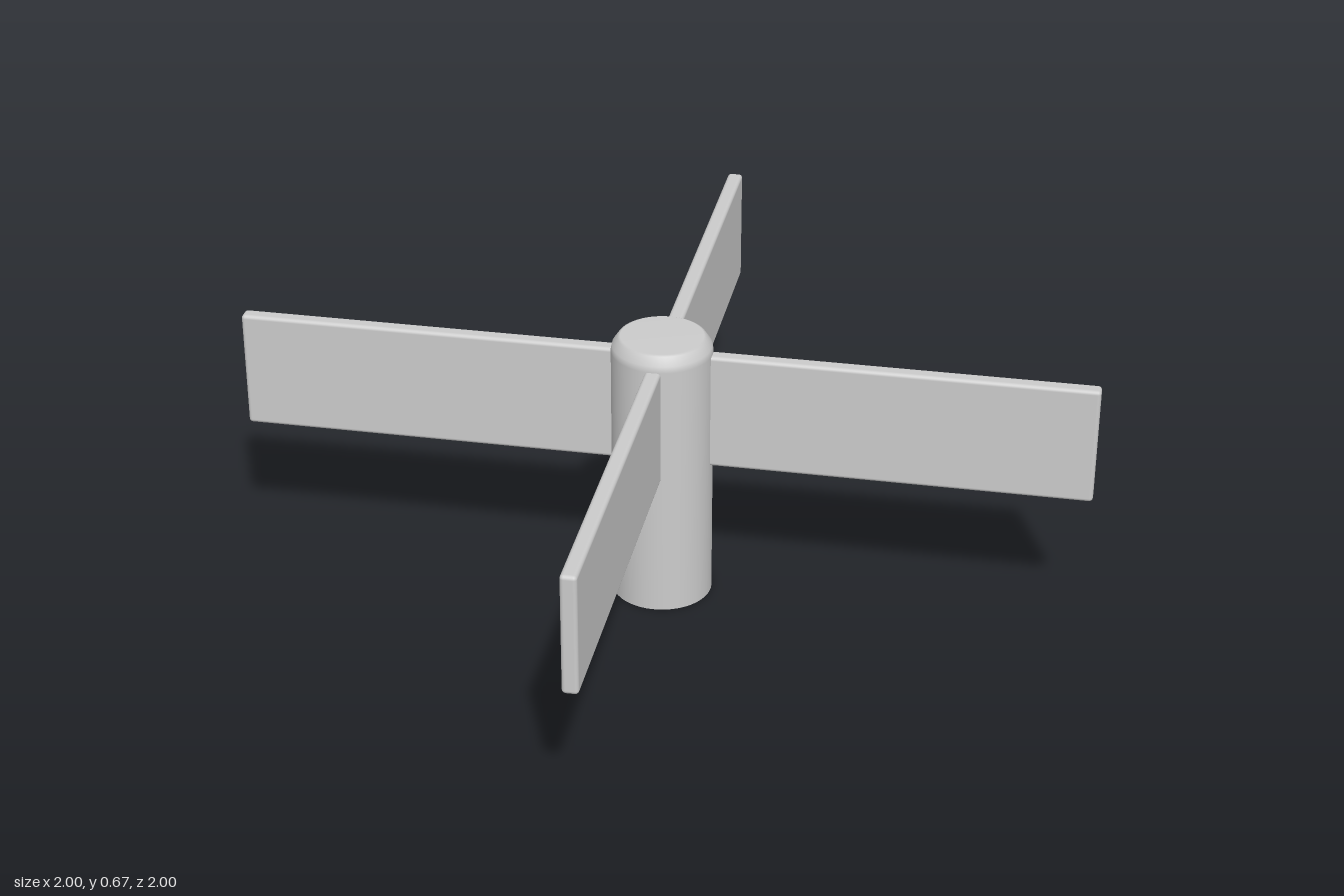
import * as THREE from 'three';
import { RoundedBoxGeometry } from 'three/addons/geometries/RoundedBoxGeometry.js';

export function createModel() {
  const model = new THREE.Group();
  const material = new THREE.MeshStandardMaterial({ color: 0xcccccc });
  const add = (name, geometry) => {
    const mesh = new THREE.Mesh(geometry, material);
    mesh.name = name;
    model.add(mesh);
    return mesh;
  };

  // Hub: a round post with a softened top rim
  const radius = 0.118, height = 0.667;
  const profile = [
    [radius, 0], [radius, 0.63], [radius - 0.003, 0.645],
    [radius - 0.016, height - 0.003], [radius - 0.022, height], [0, height],
  ].map(([r, y]) => new THREE.Vector2(r, y));
  add('hub', new THREE.LatheGeometry(profile, 48));

  // Flat underside of the hub
  add('hubBase', new THREE.CircleGeometry(radius, 48).rotateX(Math.PI / 2));

  // Four upright paddles, reaching from inside the hub to the tips
  const inner = 0.06, bottom = 0.345, top = 0.63, thickness = 0.037;
  const paddle = new RoundedBoxGeometry(1 - inner, top - bottom, thickness, 3, 0.009);
  paddle.translate((1 + inner) / 2, (top + bottom) / 2, 0);
  ['left', 'back', 'right', 'front'].forEach((side, i) => {
    add(side + 'Paddle', paddle).rotation.y = i * Math.PI / 2;
  });

  return model;
}
